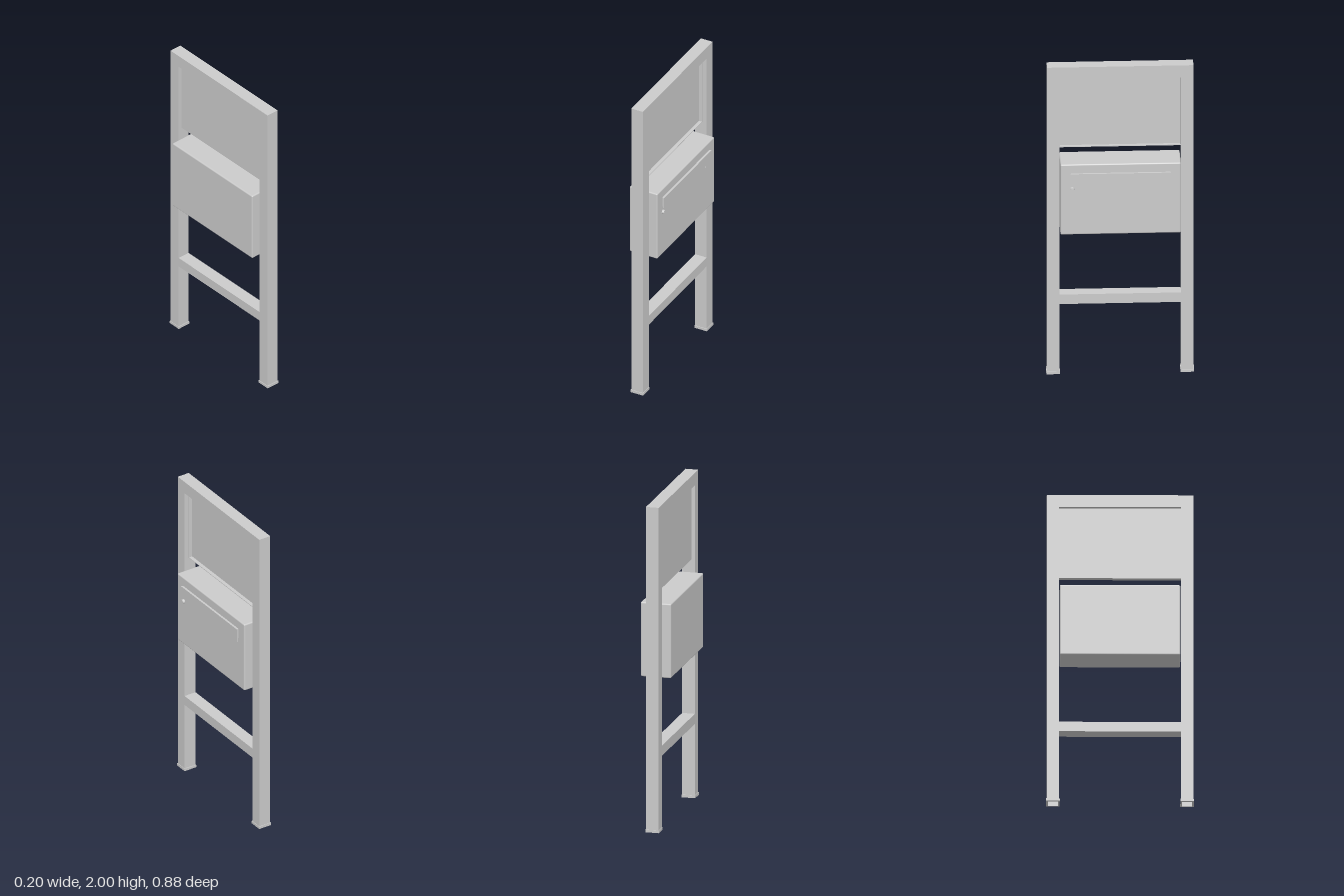
import * as THREE from 'three';
import { RoundedBoxGeometry } from 'three/addons/geometries/RoundedBoxGeometry.js';

const material = new THREE.MeshStandardMaterial({ color: 0xcccccc, side: THREE.DoubleSide });

export function createModel() {
  const model = new THREE.Group();

  function add(name, geometry) {
    const mesh = new THREE.Mesh(geometry, material);
    mesh.name = name;
    model.add(mesh);
    return mesh;
  }

  // Box given by its limits on each axis
  function box(name, [x0, x1], [y0, y1], [z0, z1], radius = 0) {
    const size = [x1 - x0, y1 - y0, z1 - z0];
    const geometry = radius ? new RoundedBoxGeometry(...size, 3, radius) : new THREE.BoxGeometry(...size);
    const mesh = add(name, geometry);
    mesh.position.set((x0 + x1) / 2, (y0 + y1) / 2, (z0 + z1) / 2);
    return mesh;
  }

  // Upright rectangular tube, open at both ends
  function tube(name, x, z, y0, y1, w, d, innerW, innerD) {
    const rect = (a, b, path) => path.moveTo(-a / 2, -b / 2).lineTo(a / 2, -b / 2)
      .lineTo(a / 2, b / 2).lineTo(-a / 2, b / 2).closePath();
    const shape = rect(w, d, new THREE.Shape());
    shape.holes.push(rect(innerW, innerD, new THREE.Path()));
    const geometry = new THREE.ExtrudeGeometry(shape, { depth: y1 - y0, bevelEnabled: false });
    geometry.rotateX(-Math.PI / 2);
    add(name, geometry).position.set(x, y0, z);
  }

  const frameX = [-0.047, 0.031];
  const midX = -0.008;
  const inner = 0.361;
  const outer = 0.434;

  // Hollow posts with slightly wider feet, joined by a top rail and a low crossbar
  for (const side of [1, -1]) {
    const z = side * (inner + outer) / 2;
    tube('post', midX, z, 0.004, 1.925, 0.078, 0.073, 0.07, 0.065);
    tube('foot', midX, z, 0, 0.016, 0.084, 0.081, 0.064, 0.059);
  }
  box('topRail', frameX, [1.922, 2], [-outer, outer]);
  box('crossbar', frameX, [0.456, 0.518], [-inner, inner]);

  // Sheet panel with a shallow folded rim
  const rimX = [-0.026, 0.002];
  box('signPanel', [-0.026, -0.02], [1.466, 1.922], [-inner, inner]);
  box('panelRimTop', rimX, [1.918, 1.922], [-inner, inner]);
  box('panelRimBottom', rimX, [1.466, 1.47], [-inner, inner]);
  for (const side of [1, -1]) {
    const ends = [side * inner, side * (inner - 0.004)].sort((a, b) => a - b);
    box('panelRimSide', rimX, [1.47, 1.918], ends);
  }

  // Letterbox held between the posts
  box('letterbox', [-0.101, 0.086], [0.933, 1.39], [-0.357, 0.357], 0.008);

  // Flap over the letter slot, on a thin backing strip
  box('slotBacking', [0.084, 0.094], [1.27, 1.333], [-0.294, 0.294]);
  box('slotFlap', [0.094, 0.099], [1.265, 1.333], [-0.298, 0.298]);

  // Small clip under the flap
  box('clip', [0.084, 0.092], [1.238, 1.267], [-0.287, -0.24]);

  // Round lock with a keyhole bar
  const lock = add('lock', new THREE.CylinderGeometry(0.012, 0.014, 0.014, 24));
  lock.rotation.z = -Math.PI / 2;
  lock.position.set(0.092, 1.23, 0.288);
  box('keyhole', [0.098, 0.1], [1.224, 1.236], [0.287, 0.289]);

  return model;
}
